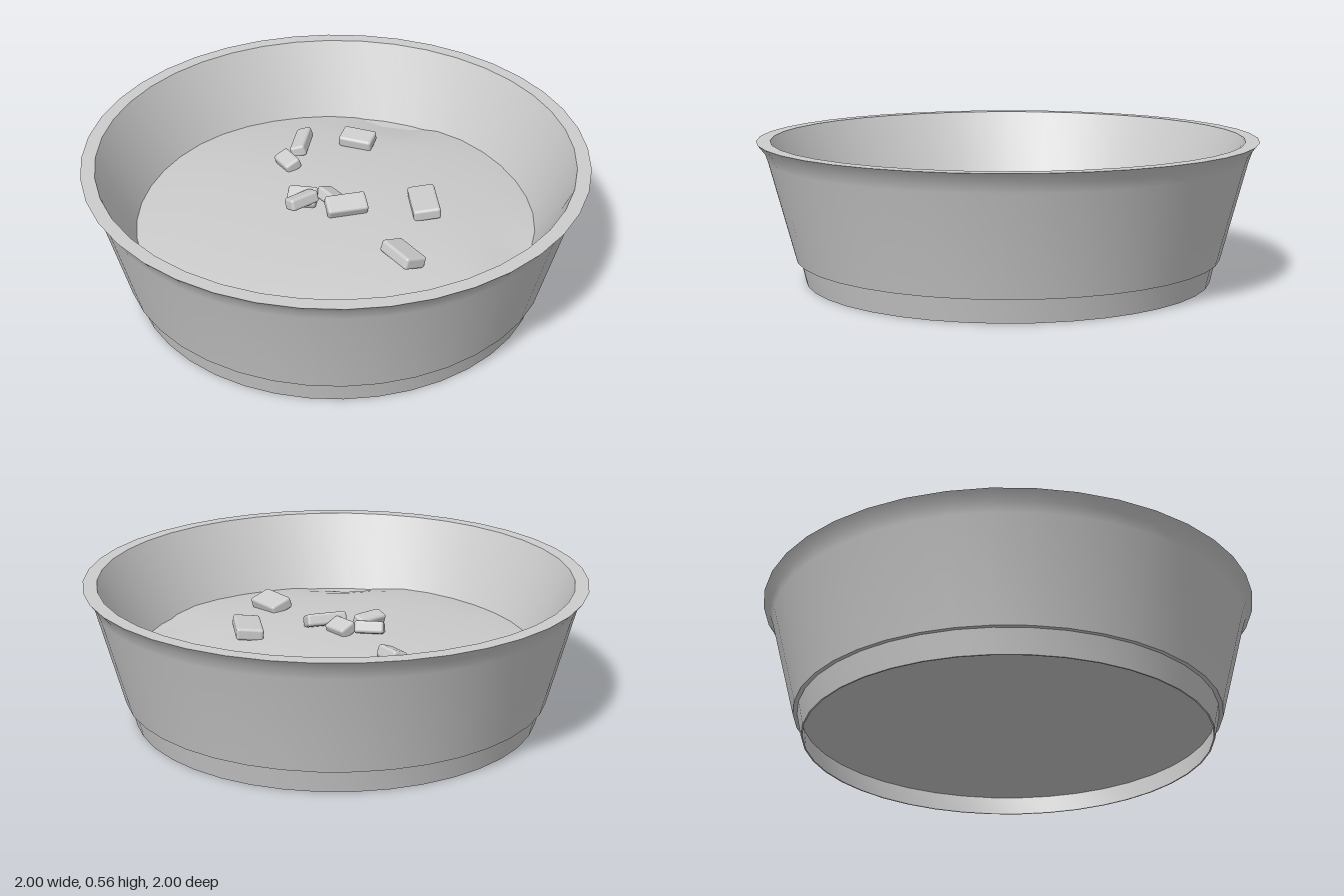
import * as THREE from 'three';
import { mergeVertices, toCreasedNormals } from 'three/addons/utils/BufferGeometryUtils.js';
import { RoundedBoxGeometry } from 'three/addons/geometries/RoundedBoxGeometry.js';

const SIDES = 40;

// Closed bowl: recessed underside, foot ring, step, flared lip, inner wall and floor
function bowlGeometry() {
  const profile = [
    [0, 0.08], [0.822, 0.08], [0.811, 0], [0.817, 0], [0.838, 0.095], [0.855, 0.095],
    [0.958, 0.49], [0.972, 0.53], [1, 0.565], [0.945, 0.565], [0.8, 0.25], [0, 0.25],
  ].map(([r, y]) => new THREE.Vector2(r, y));
  return toCreasedNormals(new THREE.LatheGeometry(profile, SIDES), 0.6);
}

// Height of the uneven filling: a low mound whose edge dips in a few places
const dips = [[0.42, -0.7], [-0.25, 0.78], [0.68, 0.46]];
function fillHeight(x, z) {
  const r = Math.hypot(x, z) / 0.8;
  let y = 0.325 - 0.063 * r ** 2.5 + 0.005 * Math.sin(5 * x + 1) * Math.cos(4 * z);
  for (const [dx, dz] of dips) {
    y -= 0.028 * Math.exp(-((x - dx) ** 2 + (z - dz) ** 2) / 0.02);
  }
  return y;
}

function fillGeometry() {
  let geo = new THREE.RingGeometry(0, 0.81, SIDES, 12).rotateX(-Math.PI / 2);
  geo.deleteAttribute('uv');
  geo.deleteAttribute('normal');
  const p = geo.attributes.position;
  for (let i = 0; i < p.count; i++) p.setY(i, fillHeight(p.getX(i), p.getZ(i)));
  geo = mergeVertices(geo);
  geo.computeVertexNormals();
  return geo;
}

// Loose pieces: x, z, length, width, turn, tilt, lift
const pieces = [
  [-0.055, -0.485, 0.17, 0.065, 1.2, -0.35, 0.005],
  [0.185, -0.46, 0.145, 0.09, -0.55, 0.15, 0.01],
  [-0.14, -0.335, 0.11, 0.07, -1.2, 0.35, 0],
  [-0.13, -0.04, 0.12, 0.09, -0.35, 0.4, 0],
  [-0.14, 0.005, 0.13, 0.06, 0.45, -0.3, 0.02],
  [-0.015, -0.02, 0.11, 0.075, -1.1, -0.4, 0],
  [0.03, 0.065, 0.165, 0.085, 0.05, 0.4, 0.01],
  [0.345, 0.085, 0.19, 0.11, 1.48, -0.1, 0.005],
  [0.185, 0.4, 0.165, 0.1, -1.15, -0.3, 0.005],
];

export function createModel() {
  const grey = new THREE.MeshStandardMaterial({ color: 0xcccccc });
  grey.name = 'plain grey';
  const model = new THREE.Group();
  model.name = 'filledBowl';

  const add = (name, geometry, parent = model) => {
    const mesh = new THREE.Mesh(geometry, grey);
    mesh.name = name;
    parent.add(mesh);
    return mesh;
  };

  add('bowl', bowlGeometry());
  add('filling', fillGeometry());

  const loose = new THREE.Group();
  loose.name = 'loosePieces';
  model.add(loose);
  for (const [x, z, length, width, turn, tilt, lift] of pieces) {
    const piece = add('piece', new RoundedBoxGeometry(length, 0.05, width, 2, 0.012), loose);
    piece.position.set(x, fillHeight(x, z) + 0.018 + lift, z);
    piece.rotation.set(tilt, turn, 0, 'YXZ');
  }
  return model;
}
